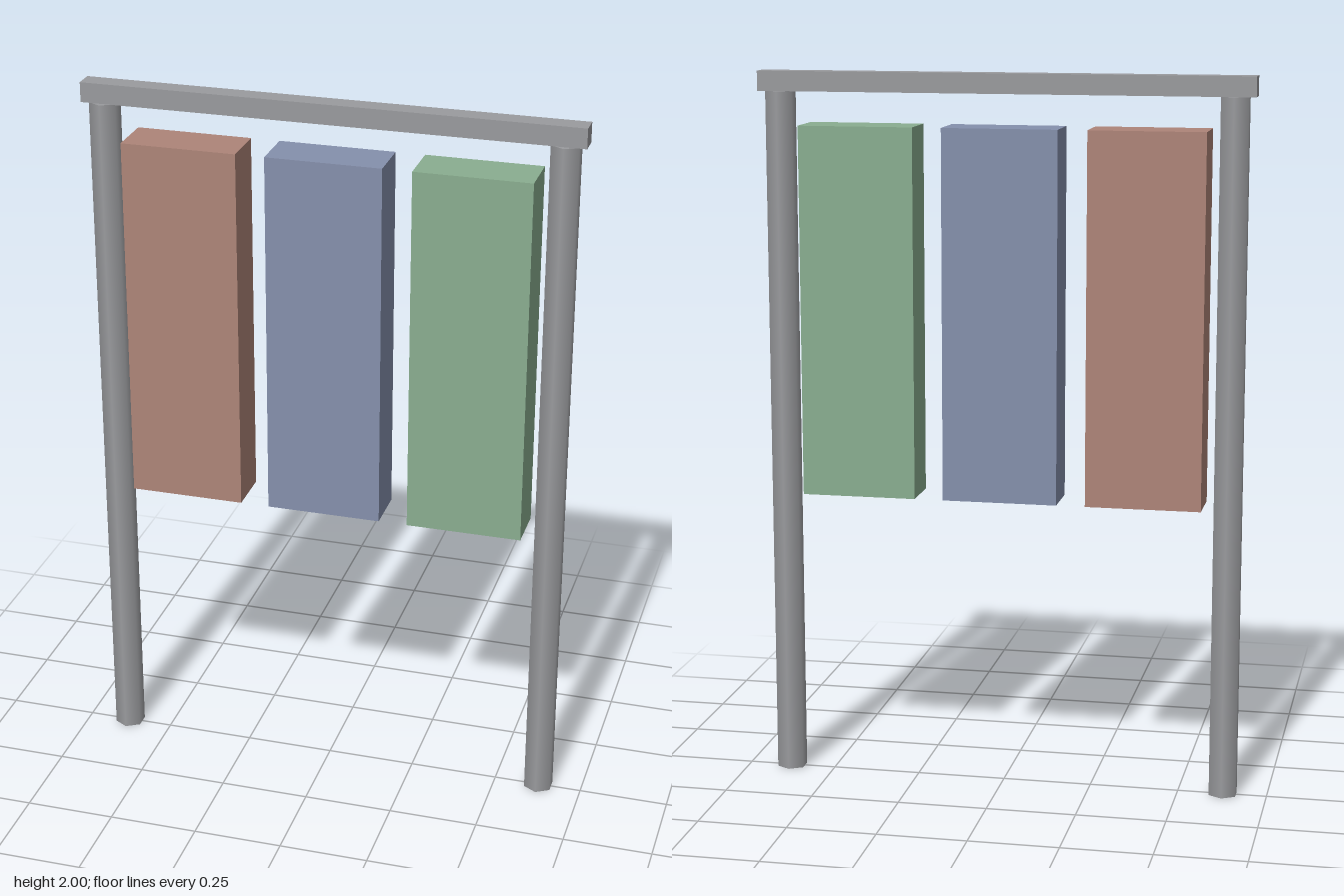
import * as THREE from 'three';

const material = (color) => new THREE.MeshStandardMaterial({ color });

export function createModel() {
  const group = new THREE.Group();
  const add = (name, geometry, mat, x, y) => {
    const mesh = new THREE.Mesh(geometry, mat);
    mesh.name = name;
    mesh.position.set(x, y, 0);
    group.add(mesh);
  };

  const metal = material(0x9a9b9e);
  const postHeight = 1.945;
  const beamHeight = 2 - postHeight;

  // Six-sided posts, softly shaded, corners facing front and back
  const post = new THREE.CylinderGeometry(0.043, 0.043, postHeight, 6);
  add('leftPost', post, metal, 0.627, postHeight / 2);
  add('rightPost', post, metal, -0.627, postHeight / 2);

  // Top beam resting on the posts
  add('topBeam', new THREE.BoxGeometry(1.37, beamHeight, 0.056), metal, 0, 2 - beamHeight / 2);

  // Three coloured slabs hanging in a row, free of the frame
  const slab = new THREE.BoxGeometry(0.32, 1.03, 0.137);
  [['rightPanel', 0xae8579], ['middlePanel', 0x8590ac], ['leftPanel', 0x8aae90]].forEach(
    ([name, color], i) => add(name, slab, material(color), (i - 1) * 0.4, 1.34)
  );

  return group;
}
